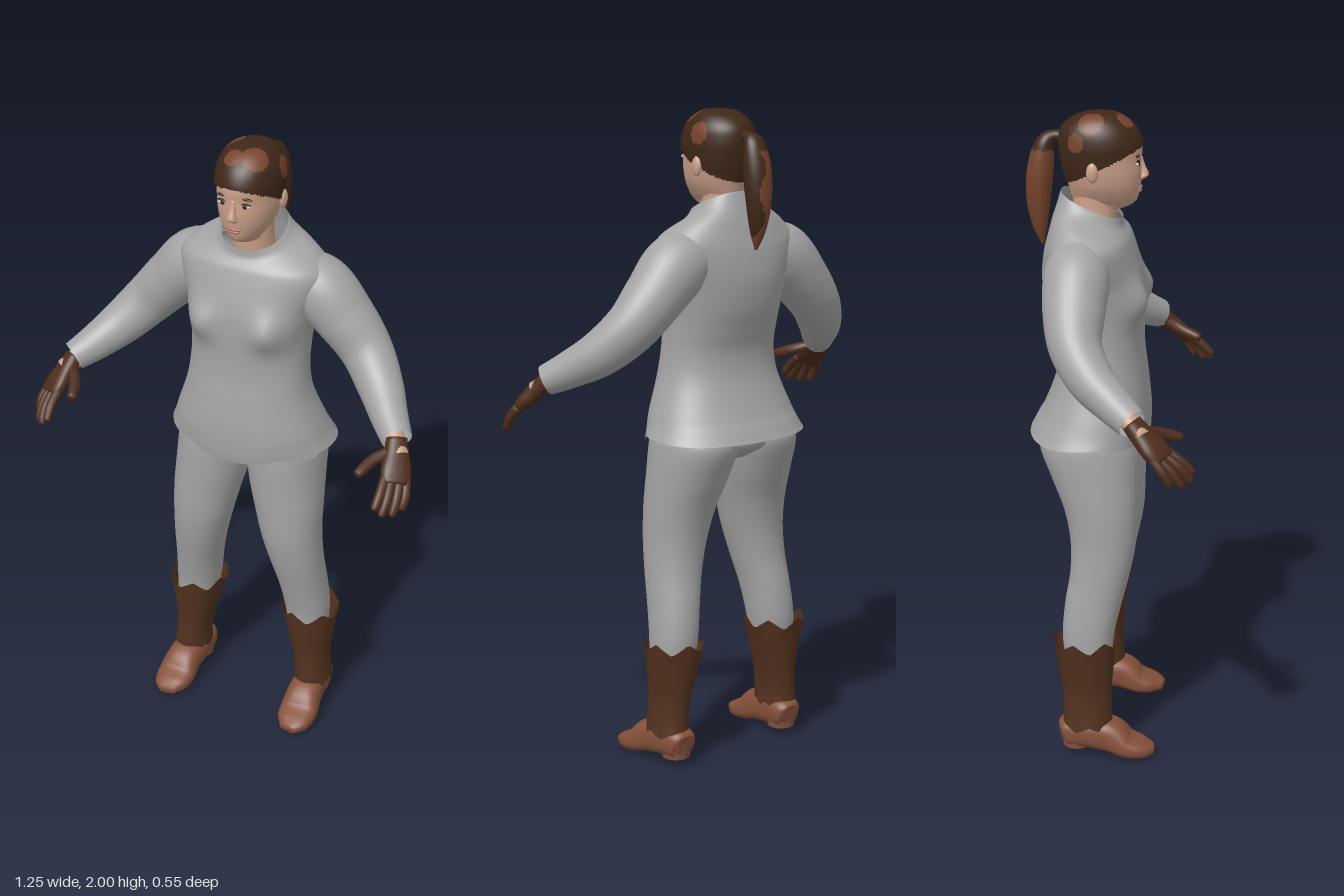
import * as THREE from 'three';

const mat = (name, color, side = THREE.FrontSide) => {
  const m = new THREE.MeshStandardMaterial({ color, side });
  m.name = name;
  return m;
};

// Smooth skin over elliptical rings: points are centres, radii are [a, b] per ring.
// With flat set the rings stay horizontal, otherwise they follow the path.
function loft(centres, radii, { n = 24, steps = 40, power = 2, ref = [1, 0, 0], flat = false, caps = true } = {}) {
  const path = new THREE.CatmullRomCurve3(centres.map(c => new THREE.Vector3(...c)), false, 'catmullrom');
  const size = new THREE.CatmullRomCurve3(radii.map(r => new THREE.Vector3(r[0], r[1], 0)), false, 'catmullrom');
  const pos = [], idx = [];
  const sup = s => Math.sign(s) * Math.pow(Math.abs(s), 2 / power);
  for (let i = 0; i <= steps; i++) {
    const c = path.getPoint(i / steps), r = size.getPoint(i / steps);
    const t = flat ? new THREE.Vector3(0, 1, 0) : path.getTangent(i / steps);
    const u = new THREE.Vector3(...ref);
    u.addScaledVector(t, -u.dot(t)).normalize();
    const v = t.clone().cross(u);
    for (let j = 0; j < n; j++) {
      const a = j / n * Math.PI * 2;
      const p = c.clone().addScaledVector(u, r.x * sup(Math.cos(a))).addScaledVector(v, r.y * sup(Math.sin(a)));
      pos.push(p.x, p.y, p.z);
      if (i < steps) {
        const k = (j + 1) % n, A = i * n + j, B = i * n + k;
        idx.push(A, B, B + n, A, B + n, A + n);
      }
    }
  }
  if (caps) {
    const e = centres[centres.length - 1], base = (steps + 1) * n, last = steps * n;
    pos.push(...centres[0], ...e);
    for (let j = 0; j < n; j++) {
      const k = (j + 1) % n;
      idx.push(base, k, j, base + 1, last + j, last + k);
    }
  }
  const g = new THREE.BufferGeometry();
  g.setAttribute('position', new THREE.Float32BufferAttribute(pos, 3));
  g.setIndex(idx);
  g.computeVertexNormals();
  return g;
}

// Rows of [y, x0, x1, zFront, zBack]
const stack = (rows, o = {}) => loft(
  rows.map(([y, x0, x1, f, b]) => [(x0 + x1) / 2, y, (f + b) / 2]),
  rows.map(([, x0, x1, f, b]) => [(x1 - x0) / 2, (f - b) / 2]), { ...o, flat: true });
// Rows of [x, y, z, ra, rb]
const limb = (rows, o) => loft(rows.map(r => r.slice(0, 3)), rows.map(r => r.slice(3)), o);

function deform(g, rule) {
  const p = g.attributes.position, v = new THREE.Vector3();
  for (let i = 0; i < p.count; i++) {
    rule(v.fromBufferAttribute(p, i));
    p.setXYZ(i, v.x, v.y, v.z);
  }
  g.computeVertexNormals();
  return g;
}

// Keeps only the faces whose middle passes the test
function keep(g, test) {
  const out = g.clone(), p = g.attributes.position, src = g.index.array, idx = [];
  for (let i = 0; i < src.length; i += 3) {
    const m = new THREE.Vector3();
    for (let k = 0; k < 3; k++) m.add(new THREE.Vector3().fromBufferAttribute(p, src[i + k]));
    if (test(m.divideScalar(3))) idx.push(src[i], src[i + 1], src[i + 2]);
  }
  out.setIndex(idx);
  return out;
}

function mirrored(g) {
  const m = g.clone().applyMatrix4(new THREE.Matrix4().makeScale(-1, 1, 1));
  const a = Array.from(m.index.array);
  for (let i = 0; i < a.length; i += 3) [a[i], a[i + 1]] = [a[i + 1], a[i]];
  m.setIndex(a);
  m.computeVertexNormals();
  return m;
}

const ball = (x, y, z, a, b, c) => new THREE.SphereGeometry(1, 20, 14).scale(a, b, c).translate(x, y, z);

export function createModel() {
  const root = new THREE.Group();
  root.name = 'woman';
  const cloth = mat('grey cloth', 0xa4a4a4, THREE.DoubleSide);
  const skin = mat('skin', 0xcba08a);
  const boot = mat('dark leather', 0x52311f, THREE.DoubleSide);
  const shoe = mat('brown leather', 0x84503b);
  const glove = mat('glove leather', 0x4d2d1c);
  const hairDark = mat('dark hair', 0x3f2718, THREE.DoubleSide);
  const hairLight = mat('chestnut hair', 0x75432c, THREE.DoubleSide);
  const eyeDark = mat('eye brown', 0x2c1d17);
  const eyeWhite = mat('eye white', 0xd8cfc8);
  const lip = mat('lips', 0xa9705f);

  const add = (name, g, m) => {
    const mesh = new THREE.Mesh(g, m);
    mesh.name = name;
    root.add(mesh);
  };
  const pair = (name, g, m) => {
    add('left' + name, g, m);
    add('right' + name, mirrored(g), m);
  };

  // Shirt with bust, dipped hem and tilted open collar
  const shirt = stack([
    [1.03, .265, .1, -.265], [1.06, .25, .105, -.247], [1.1, .235, .105, -.222], [1.2, .2, .095, -.185],
    [1.28, .187, .085, -.178], [1.35, .185, .083, -.195], [1.42, .19, .085, -.215], [1.5, .205, .08, -.225],
    [1.57, .23, .062, -.22], [1.62, .235, .045, -.21], [1.66, .19, .03, -.195], [1.695, .125, .02, -.178],
    [1.725, .097, .018, -.168],
  ].map(([y, w, f, b]) => [y, -w, w, f, b]), { n: 72, steps: 96, power: 2.25, caps: false });
  add('shirt', deform(shirt, v => {
    const top = THREE.MathUtils.smoothstep(v.y, 1.62, 1.725), low = 1 - THREE.MathUtils.smoothstep(v.y, 1.03, 1.1);
    const bust = Math.exp(-((Math.abs(v.x) - .115) ** 2) / .003 - ((v.y - 1.45) ** 2) / .0035);
    if (v.z > 0) v.z += .036 * bust;
    v.y -= top * (v.z + .075) * .43;
    if (v.z > 0) v.y -= low * (Math.abs(v.x) < .13 ? .022 + .018 * Math.cos(v.x * 12) : .012);
    else v.y -= low * .01 * Math.min(1, -v.z / .2);
  }), cloth);

  // Sleeves
  pair('Sleeve', limb([
    [.11, 1.575, -.1, .08, .08], [.2, 1.55, -.1, .098, .1], [.285, 1.468, -.1, .092, .09], [.36, 1.385, -.088, .078, .08],
    [.43, 1.31, -.035, .068, .07], [.49, 1.258, .035, .056, .057], [.54, 1.222, .092, .046, .046],
  ], { n: 32, steps: 48, ref: [0, 0, 1], caps: false }), cloth);
  pair('Wrist', limb([[.49, 1.258, .035, .03, .03], [.56, 1.19, .125, .03, .024]], { steps: 4 }), skin);

  // Gloves: palm, four fingers and thumb
  const across = [-.83, .21, .52];
  pair('Palm', limb([
    [.538, 1.224, .09, .031, .026], [.552, 1.19, .122, .037, .026], [.566, 1.158, .156, .046, .024], [.576, 1.13, .185, .042, .017],
  ], { ref: across, steps: 16, power: 2.4 }), glove);
  [
    [[.545, 1.15, .185], [.548, 1.118, .23], [.546, 1.085, .262]],
    [[.563, 1.145, .18], [.57, 1.105, .228], [.567, 1.067, .258]],
    [[.583, 1.138, .168], [.591, 1.098, .208], [.59, 1.06, .234]],
    [[.598, 1.137, .155], [.609, 1.1, .184], [.607, 1.067, .203]],
    [[.54, 1.198, .115], [.498, 1.182, .165], [.476, 1.163, .222]],
  ].forEach((f, i) => {
    const r = i === 4 ? .018 : .0145;
    const tip = f[2].map((c, k) => c + (c - f[1][k]) * .16);
    pair(i === 4 ? 'Thumb' : 'Finger' + (i + 1), limb(
      [[...f[0], r, r], [...f[1], r, r], [...f[2], r * .85, r * .85], [...tip, .004, .004]],
      { n: 12, steps: 15, ref: across }), glove);
  });

  // Trousers
  add('hips', stack([
    [.95, -.12, .12, .03, -.15], [1, -.215, .215, .078, -.215], [1.1, -.2, .2, .075, -.195],
  ], { n: 40, steps: 16 }), cloth);
  pair('TrouserLeg', stack([
    [.3, .14, .265, 0, -.14], [.4, .125, .265, .008, -.152], [.5, .11, .258, .03, -.145], [.6, .086, .252, .055, -.13],
    [.7, .06, .248, .073, -.13], [.8, .035, .247, .078, -.15], [.9, .01, .242, .08, -.19], [1, -.005, .235, .08, -.226],
    [1.06, 0, .22, .07, -.2],
  ], { n: 36, steps: 48, power: 2.15 }), cloth);

  // Boot shafts with a ragged top and bottom edge
  pair('BootShaft', deform(stack([
    [.1, .162, .28, .006, -.15], [.15, .163, .275, .004, -.148], [.22, .153, .273, .002, -.152],
    [.3, .132, .282, .008, -.165], [.385, .11, .295, .015, -.18],
  ], { n: 48, steps: 32, caps: false }), v => {
    const a = Math.atan2(v.z + .08, v.x - .2);
    const jag = Math.abs(((a / Math.PI * 3 + 6.3) % 1) * 2 - 1) - .5;
    v.y += jag * .034 * THREE.MathUtils.smoothstep(v.y, .34, .385);
    v.y -= jag * .02 * (1 - THREE.MathUtils.smoothstep(v.y, .1, .13));
  }), boot);

  // Shoes and heels
  pair('Shoe', limb([
    [.215, .07, -.155, .03, .028], [.215, .074, -.135, .048, .045], [.218, .074, -.06, .053, .052], [.222, .066, 0, .056, .053],
    [.225, .038, .05, .062, .037], [.225, .027, .1, .054, .026], [.22, .022, .135, .026, .013],
  ], { n: 32, steps: 36, power: 2.6 }), shoe);
  pair('Heel', new THREE.CylinderGeometry(.046, .043, .035, 24).translate(.215, .043, -.108), shoe);

  // Head and neck
  const skull = grow => stack([
    [1.715, .045, .025, -.125], [1.728, .048, .05, -.13], [1.745, .06, .062, -.136], [1.78, .079, .07, -.146],
    [1.82, .089, .074, -.158], [1.86, .093, .073, -.166], [1.9, .095, .074, -.17], [1.94, .088, .058, -.164],
    [1.97, .069, .03, -.138], [1.988, .043, -.003, -.1], [1.994, .012, -.035, -.06],
  ].map(([y, w, f, b]) => [y + grow, -w - grow, w + grow, f + grow, b - grow]), { n: 72, steps: 72 });
  add('head', skull(0), skin);
  add('neck', stack([[1.6, -.07, .07, -.01, -.15], [1.7, -.06, .06, 0, -.135], [1.79, -.06, .06, 0, -.13]], { steps: 12 }), skin);

  // Hair cap in two tones behind a slanted hairline
  const cap = keep(skull(.006), p => p.y > 1.83 + (p.z + .07) * .5);
  const patches = [[-.06, 1.97, -.07, .04], [.04, 1.98, .01, .04], [-.02, 1.97, .02, .03], [-.09, 1.92, -.12, .03], [.08, 1.93, -.07, .035]];
  const inPatch = p => patches.some(([x, y, z, r]) => Math.hypot(p.x - x, p.y - y, p.z - z) < r);
  add('hairDarkAreas', keep(cap, p => !inPatch(p)), hairDark);
  add('hairLightAreas', keep(cap, inPatch), hairLight);

  // Ponytail
  const tail = limb([
    [0, 1.915, -.15, .022, .022], [0, 1.925, -.185, .02, .018], [0, 1.9, -.215, .036, .03], [0, 1.82, -.23, .044, .04],
    [0, 1.73, -.236, .038, .036], [0, 1.65, -.232, .024, .022], [0, 1.595, -.224, .004, .004],
  ], { n: 32, steps: 48 });
  const dark = p => p.y > 1.885 || p.x > .012 + .012 * Math.sin(p.y * 40);
  add('ponytailDark', keep(tail, dark), hairDark);
  add('ponytailLight', keep(tail, p => !dark(p)), hairLight);

  // Face
  add('nose', limb([
    [0, 1.798, .068, .01, .008], [0, 1.808, .077, .016, .014], [0, 1.818, .08, .013, .014], [0, 1.84, .074, .009, .01], [0, 1.868, .067, .007, .008],
  ], { n: 16, steps: 20, flat: true }), skin);
  add('upperLip', ball(0, 1.775, .069, .024, .005, .006), lip);
  add('lowerLip', ball(0, 1.766, .068, .019, .005, .006), lip);
  pair('Ear', ball(.096, 1.835, -.065, .011, .03, .018), skin);
  pair('EyeWhite', ball(.035, 1.853, .064, .017, .007, .005), eyeWhite);
  pair('Iris', ball(.035, 1.853, .067, .007, .007, .004), eyeDark);
  pair('EyeLid', ball(.035, 1.86, .065, .019, .003, .005), eyeDark);
  pair('Eyebrow', ball(.037, 1.876, .064, .022, .004, .005), hairDark);
  return root;
}
